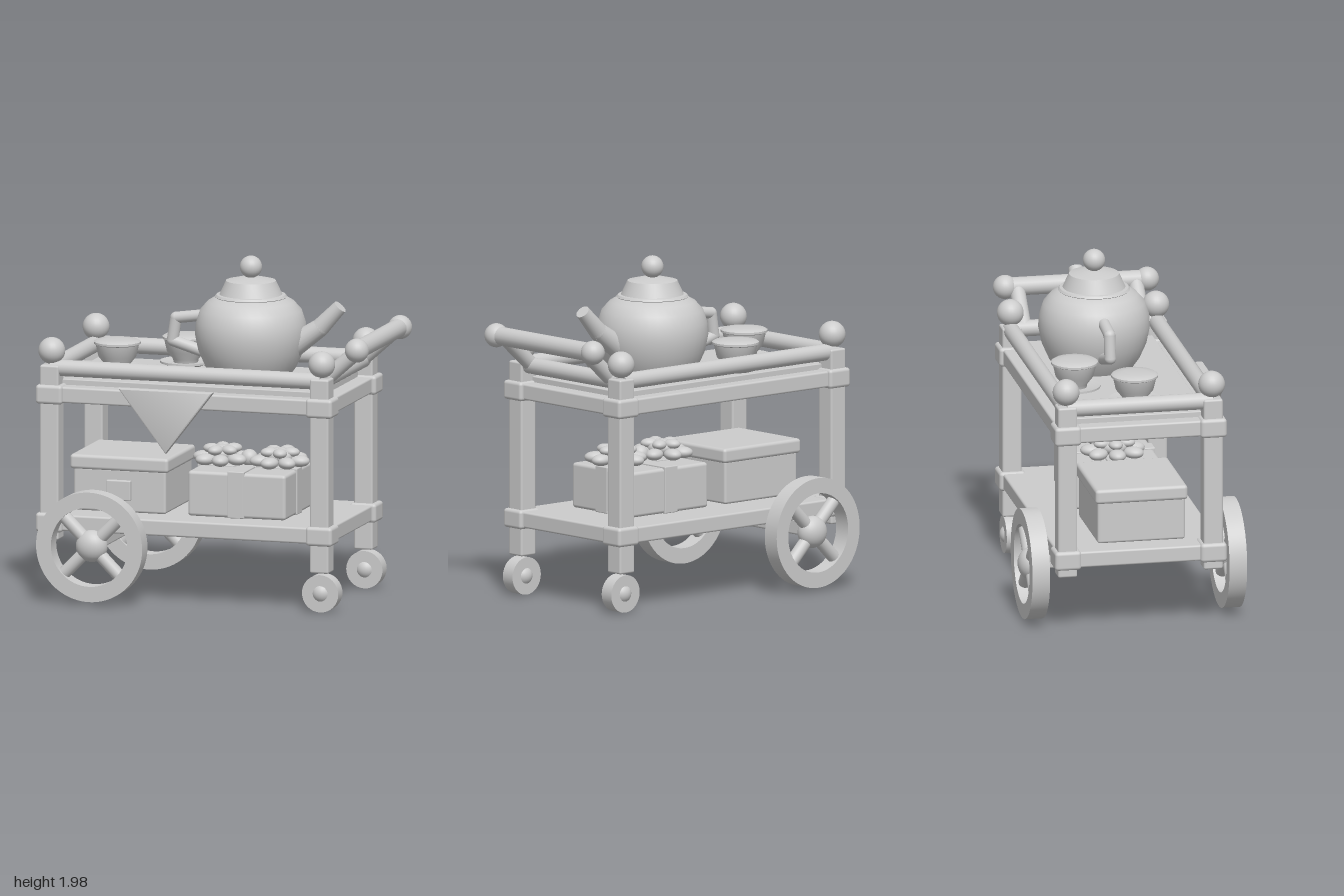
import * as THREE from 'three';
import { RoundedBoxGeometry } from 'three/addons/geometries/RoundedBoxGeometry.js';
import { toCreasedNormals } from 'three/addons/utils/BufferGeometryUtils.js';

const clay = new THREE.MeshStandardMaterial({ color: 0xcccccc });
clay.name = 'light grey';

function add(parent, name, geometry, x = 0, y = 0, z = 0) {
  const mesh = new THREE.Mesh(geometry, clay);
  mesh.name = name;
  mesh.position.set(x, y, z);
  parent.add(mesh);
  return mesh;
}

function group(parent, name, x = 0, y = 0, z = 0) {
  const g = new THREE.Group();
  g.name = name;
  g.position.set(x, y, z);
  parent.add(g);
  return g;
}

// Rounded box given by its lower and upper bounds on each axis
function block(parent, name, [x0, x1], [y0, y1], [z0, z1], radius = 0.012) {
  const geo = new RoundedBoxGeometry(x1 - x0, y1 - y0, z1 - z0, 2, radius);
  return add(parent, name, geo, (x0 + x1) / 2, (y0 + y1) / 2, (z0 + z1) / 2);
}

// Round bar between two points, optionally tapered
function rod(parent, name, a, b, r0, r1 = r0) {
  const from = new THREE.Vector3(...a), to = new THREE.Vector3(...b);
  const dir = to.clone().sub(from);
  const mesh = add(parent, name, new THREE.CylinderGeometry(r1, r0, dir.length(), 20));
  mesh.position.copy(from).add(to).multiplyScalar(0.5);
  mesh.quaternion.setFromUnitVectors(new THREE.Vector3(0, 1, 0), dir.normalize());
  return mesh;
}

function ball(parent, name, x, y, z, r, sx = 1, sy = 1, sz = 1) {
  const mesh = add(parent, name, new THREE.SphereGeometry(r, 24, 16), x, y, z);
  mesh.scale.set(sx, sy, sz);
  return mesh;
}

function lathe(parent, name, profile, crease = 0.7) {
  const points = profile.map(([r, y]) => new THREE.Vector2(r, y));
  return add(parent, name, toCreasedNormals(new THREE.LatheGeometry(points, 40), crease));
}

function buildFrame(root) {
  const frame = group(root, 'frame');
  const backX = -0.918, frontX = 0.72, side = 0.43;
  for (const [name, y] of [['lowerShelf', 0.453], ['upperShelf', 1.205]]) {
    block(frame, name, [-0.975, 0.778], [y - 0.047, y + 0.047], [-0.485, 0.485]);
    for (const x of [backX, frontX]) for (const s of [-1, 1])
      block(frame, 'cornerCollar', [x - 0.078, x + 0.083], [y - 0.056, y + 0.056],
        [s * side - 0.078, s * side + 0.078], 0.02);
  }
  block(frame, 'trayPanel', [-0.89, 0.69], [1.24, 1.285], [-0.4, 0.4], 0.005);

  // Posts, finials and guard rails
  for (const s of [-1, 1]) {
    for (const [x, bottom] of [[backX, 0.35], [frontX, 0.235]]) {
      block(frame, 'post', [x - 0.057, x + 0.057], [bottom, 1.375],
        [s * side - 0.057, s * side + 0.057]);
      ball(frame, 'finial', x, 1.455, s * side, 0.078);
    }
    rod(frame, 'sideRail', [backX, 1.355, s * side], [frontX, 1.355, s * side], 0.048);
  }
  for (const x of [backX, frontX])
    rod(frame, 'endRail', [x, 1.355, -side], [x, 1.355, side], 0.048);

  // Push handle
  const handle = group(root, 'pushHandle');
  rod(handle, 'grip', [0.93, 1.547, -0.42], [0.93, 1.547, 0.42], 0.054);
  for (const s of [-1, 1]) {
    rod(handle, 'handleArm', [0.72, 1.36, s * 0.35], [0.93, 1.547, s * 0.35], 0.045);
    ball(handle, 'gripEnd', 0.93, 1.547, s * 0.42, 0.07);
  }
}

function buildWheels(root) {
  block(root, 'axle', [-0.675, -0.585], [0.32, 0.41], [-0.53, 0.53]);
  const rim = new THREE.Shape().absarc(0, 0, 0.322, 0, Math.PI * 2);
  rim.holes.push(new THREE.Path().absarc(0, 0, 0.232, 0, Math.PI * 2, true));
  const rimGeo = toCreasedNormals(new THREE.ExtrudeGeometry(rim,
    { depth: 0.104, bevelEnabled: false, curveSegments: 40 }), 0.6);
  rimGeo.translate(0, 0, -0.052);

  for (const s of [-1, 1]) {
    const wheel = group(root, 'largeWheel', -0.628, 0.345, s * 0.582);
    add(wheel, 'rim', rimGeo);
    ball(wheel, 'hub', 0, 0, 0, 0.094, 1, 1, 0.79);
    const d = 0.17;
    rod(wheel, 'spoke', [-d, -d, 0], [d, d, 0], 0.038);
    rod(wheel, 'spoke', [-d, d, 0], [d, -d, 0], 0.038);

    const caster = group(root, 'caster', 0.723, 0.115, s * 0.43);
    add(caster, 'casterWheel', new THREE.CylinderGeometry(0.11, 0.11, 0.084, 32)).rotation.x = Math.PI / 2;
    ball(caster, 'casterHub', 0, 0, 0, 0.062);
  }
}

function buildTeapot(root) {
  const pot = group(root, 'teapot', 0.14, 0, -0.052);
  lathe(pot, 'potBody', [[0, 1.283], [0.225, 1.283], [0.265, 1.34], [0.305, 1.43], [0.325, 1.53],
    [0.318, 1.6], [0.295, 1.67], [0.25, 1.72], [0.2, 1.748], [0, 1.748]]);
  lathe(pot, 'lid', [[0, 1.738], [0.2, 1.738], [0.21, 1.748], [0.2, 1.76], [0.182, 1.762],
    [0.145, 1.842], [0.06, 1.862], [0, 1.862]]);
  ball(pot, 'lidKnob', 0, 1.922, 0, 0.065);

  // Spout
  rod(pot, 'spout', [0.2, 1.43], [0.42, 1.585], 0.075, 0.054).position.z = 0;
  ball(pot, 'spoutBend', 0.42, 1.585, 0, 0.054);
  rod(pot, 'spoutTip', [0.42, 1.585, 0], [0.542, 1.715, 0], 0.054, 0.042);

  // Handle
  const path = [[-0.24, 1.63, 0], [-0.455, 1.6, 0], [-0.475, 1.465, 0], [-0.26, 1.4, 0]];
  for (let i = 0; i < 3; i++) {
    rod(pot, 'potHandle', path[i], path[i + 1], 0.034);
    if (i) ball(pot, 'potHandleBend', ...path[i], 0.034);
  }
}

function buildCup(root, x, z) {
  const cup = group(root, 'teacup', x, 0, z);
  lathe(cup, 'saucer', [[0, 1.283], [0.09, 1.283], [0.15, 1.303], [0.15, 1.315], [0.08, 1.305], [0, 1.305]]);
  lathe(cup, 'cupBody', [[0, 1.3], [0.07, 1.3], [0.075, 1.325], [0.11, 1.37], [0.126, 1.44],
    [0.136, 1.445], [0.136, 1.457], [0.122, 1.466], [0.07, 1.472], [0, 1.474]]);
}

function buildCargo(root) {
  // Lidded box with a clasp
  const chest = group(root, 'liddedBox');
  block(chest, 'boxBody', [-0.83, -0.27], [0.5, 0.755], [-0.225, 0.293], 0.015);
  block(chest, 'boxLid', [-0.85, -0.253], [0.742, 0.828], [-0.24, 0.305], 0.02);
  block(chest, 'clasp', [-0.625, -0.478], [0.57, 0.69], [0.28, 0.315], 0.008);

  // Gift box with crossed ribbons
  const gift = group(root, 'giftBox');
  block(gift, 'giftBody', [-0.137, 0.457], [0.5, 0.765], [-0.23, 0.296], 0.02);
  block(gift, 'ribbon', [0.106, 0.207], [0.5, 0.775], [-0.238, 0.304], 0.006);
  block(gift, 'crossRibbon', [-0.143, 0.463], [0.5, 0.773], [-0.018, 0.085], 0.006);
  ball(gift, 'knot', 0.157, 0.815, 0.034, 0.05);

  // Blossoms on the lid: two layers of flattened petals
  for (const x of [-0.005, 0.345]) {
    const flower = group(gift, 'blossom', x, 0, 0.034);
    ball(flower, 'blossomCentre', 0, 0.835, 0, 0.085, 1, 0.6, 1);
    for (const [count, ring, y, size] of [[7, 0.115, 0.81, 0.062], [5, 0.065, 0.86, 0.052]]) {
      for (let i = 0; i < count; i++) {
        const a = (i / count) * Math.PI * 2 + (x > 0 ? 0 : Math.PI);
        const petal = ball(flower, 'petal', Math.cos(a) * ring, y, -Math.sin(a) * ring * 1.15, size, 1, 0.55, 0.8);
        petal.rotation.y = a;
      }
    }
  }
}

function buildCloth(root) {
  // Hanging triangular cloth
  const shape = new THREE.Shape([[-0.455, 1.273], [-0.183, 0.925], [0.09, 1.273]]
    .map(([x, y]) => new THREE.Vector2(x, y)));
  const geo = new THREE.ExtrudeGeometry(shape,
    { depth: 0.024, bevelThickness: 0.012, bevelSize: 0.013, bevelSegments: 2 });
  add(root, 'clothDrape', toCreasedNormals(geo, 0.6), 0, 0, 0.549);
}

export function createModel() {
  const root = new THREE.Group();
  root.name = 'teaCart';
  buildFrame(root);
  buildWheels(root);
  buildTeapot(root);
  buildCup(root, -0.645, 0.03);
  buildCup(root, -0.32, -0.26);
  buildCargo(root);
  buildCloth(root);
  return root;
}
